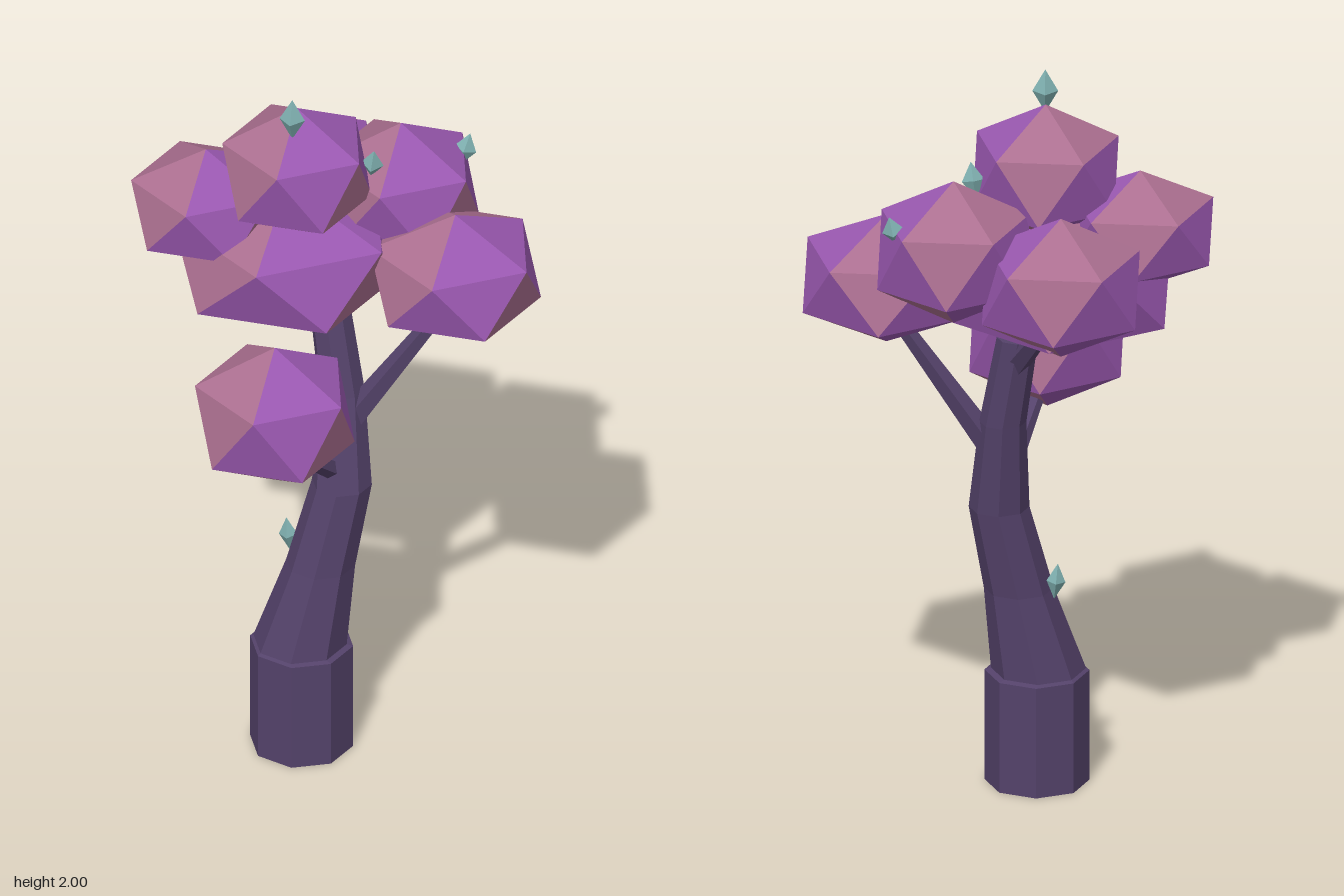
import * as THREE from 'three';

const mat = (color) => new THREE.MeshStandardMaterial({ color, flatShading: true, roughness: 0.9 });

// Flat-shaded geometry from a list of triangles of Vector3 corners
function fromTriangles(tris) {
  const g = new THREE.BufferGeometry().setFromPoints(tris.flat());
  g.computeVertexNormals();
  return g;
}

// Icosahedron standing on a corner, its faces split into two leaf tones
function foliageGeometries() {
  const ring = (y, offset) => (i) => {
    const a = ((i + offset) * Math.PI * 2) / 5;
    return new THREE.Vector3(0.894 * Math.cos(a), y, 0.894 * Math.sin(a));
  };
  const top = new THREE.Vector3(0, 1, 0), bottom = new THREE.Vector3(0, -1, 0);
  const U = ring(0.447, 0), L = ring(-0.447, 0.5);
  const roseFaces = [[1, 2, 3], [1, 3], [1, 4], [0, 3]];
  const purple = [], rose = [];
  for (let i = 0; i < 5; i++) {
    [
      [top, U(i + 1), U(i)],
      [U(i), U(i + 1), L(i)],
      [L(i), U(i + 1), L(i + 1)],
      [bottom, L(i), L(i + 1)],
    ].forEach((tri, row) => (roseFaces[row].includes(i) ? rose : purple).push(tri));
  }
  return [fromTriangles(purple), fromTriangles(rose)];
}

// Closed faceted tube through sections [x, y, z, radius], rings kept level
function sectionTube(sections, sides) {
  const P = ([x, y, z, r], i) => {
    const a = ((i + 0.5) * Math.PI * 2) / sides;
    return new THREE.Vector3(x + r * Math.cos(a), y, z + r * Math.sin(a));
  };
  const tris = [];
  const first = sections[0], last = sections[sections.length - 1];
  for (let i = 0; i < sides; i++) {
    for (let s = 0; s < sections.length - 1; s++) {
      const a = P(sections[s], i), b = P(sections[s], i + 1);
      const c = P(sections[s + 1], i), d = P(sections[s + 1], i + 1);
      tris.push([a, c, b], [b, c, d]);
    }
    tris.push([new THREE.Vector3(...first.slice(0, 3)), P(first, i), P(first, i + 1)]);
    tris.push([new THREE.Vector3(...last.slice(0, 3)), P(last, i + 1), P(last, i)]);
  }
  return fromTriangles(tris);
}

export function createModel() {
  const tree = new THREE.Group();
  tree.name = 'tree';
  const bark = mat(0x54426a), purple = mat(0x9a58b0), rose = mat(0xab6f90), teal = mat(0x7fb0b0);

  const add = (parent, name, geometry, material) => {
    const m = new THREE.Mesh(geometry, material);
    m.name = name;
    parent.add(m);
    return m;
  };

  // Thick foot and bent trunk
  add(tree, 'trunk', sectionTube([
    [-0.037, 0, 0.03, 0.138],
    [-0.037, 0.31, 0.03, 0.138],
    [-0.04, 0.315, 0.033, 0.125],
    [0.0, 0.55, -0.005, 0.092],
    [0.037, 0.79, -0.05, 0.08],
    [0.008, 1.05, -0.092, 0.062],
    [-0.04, 1.3, -0.105, 0.055],
  ], 8), bark);

  // Tapered branches: start, end, start radius, end radius
  const up = new THREE.Vector3(0, 1, 0);
  [
    ['frontBranch', [0.035, 0.84, -0.02], [0.035, 1.05, 0.25], 0.028, 0.017],
    ['leftBranch', [0.03, 0.95, -0.08], [0.28, 1.36, -0.2], 0.038, 0.02],
    ['backBranch', [-0.02, 1.2, -0.1], [-0.22, 1.45, -0.25], 0.035, 0.02],
  ].forEach(([name, a, b, r0, r1]) => {
    const start = new THREE.Vector3(...a), dir = new THREE.Vector3(...b).sub(start);
    const m = add(tree, name, new THREE.CylinderGeometry(r1, r0, dir.length(), 5), bark);
    m.position.copy(start).addScaledVector(dir, 0.5);
    m.quaternion.setFromUnitVectors(up, dir.normalize());
  });

  // Foliage clumps: centre, horizontal radius, vertical radius
  const [purpleFaces, roseFaces] = foliageGeometries();
  [
    ['lowFrontFoliage', 0.035, 1.165, 0.265, 0.235, 0.205],
    ['middleFoliage', -0.137, 1.455, -0.05, 0.335, 0.2],
    ['topFoliage', -0.08, 1.74, -0.012, 0.22, 0.19],
    ['leftFoliage', 0.295, 1.45, -0.2, 0.252, 0.18],
    ['rightFoliage', -0.32, 1.59, 0.06, 0.22, 0.165],
    ['backRightFoliage', -0.235, 1.53, -0.27, 0.238, 0.195],
    ['backFoliage', 0.065, 1.59, -0.287, 0.23, 0.2],
  ].forEach(([name, x, y, z, r, h]) => {
    const clump = new THREE.Group();
    clump.name = name;
    clump.position.set(x, y, z);
    clump.scale.set(r, h, r);
    add(clump, 'purpleLeaves', purpleFaces, purple);
    add(clump, 'roseLeaves', roseFaces, rose);
    tree.add(clump);
  });

  // Small crystals: position, radius, half height, tilt
  [
    [-0.05, 1.94, 0.055, 0.034, 0.06, 0, 0],
    [0.07, 1.74, -0.145, 0.03, 0.05, 0.3, -0.25],
    [0.18, 1.68, -0.42, 0.03, 0.045, -0.25, -0.15],
    [-0.113, 0.59, -0.02, 0.025, 0.05, 0, 0.1],
  ].forEach(([x, y, z, r, h, rx, rz], i) => {
    const m = add(tree, `crystal${i + 1}`, new THREE.OctahedronGeometry(1), teal);
    m.position.set(x, y, z);
    m.scale.set(r, h, r);
    m.rotation.set(rx, 0.4, rz);
  });

  return tree;
}
